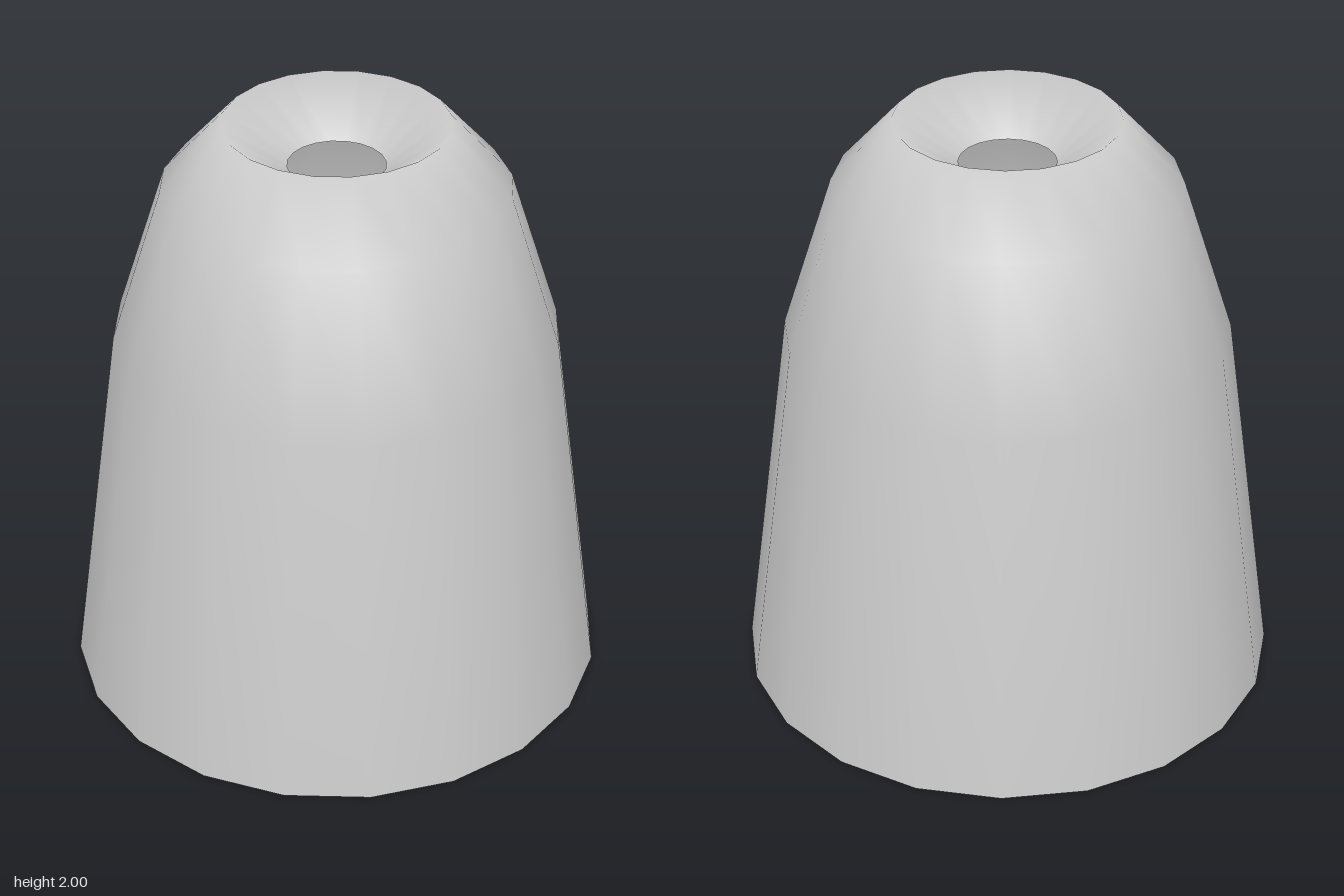
import * as THREE from 'three';

export function createModel() {
  const group = new THREE.Group();
  const material = new THREE.MeshStandardMaterial({ color: 0xcccccc, side: THREE.DoubleSide });

  // Open shell: flared wall, rounded shoulder, rim, then a funnel down to the hole
  const profile = [
    [0.905, 0],
    [0.733, 1.26],
    [0.565, 1.78],
    [0.365, 2],
    [0.158, 1.85],
  ].map(([r, y]) => new THREE.Vector2(r, y));

  const shell = new THREE.Mesh(new THREE.LatheGeometry(profile, 20), material);
  shell.name = 'bellShell';
  group.add(shell);
  return group;
}
